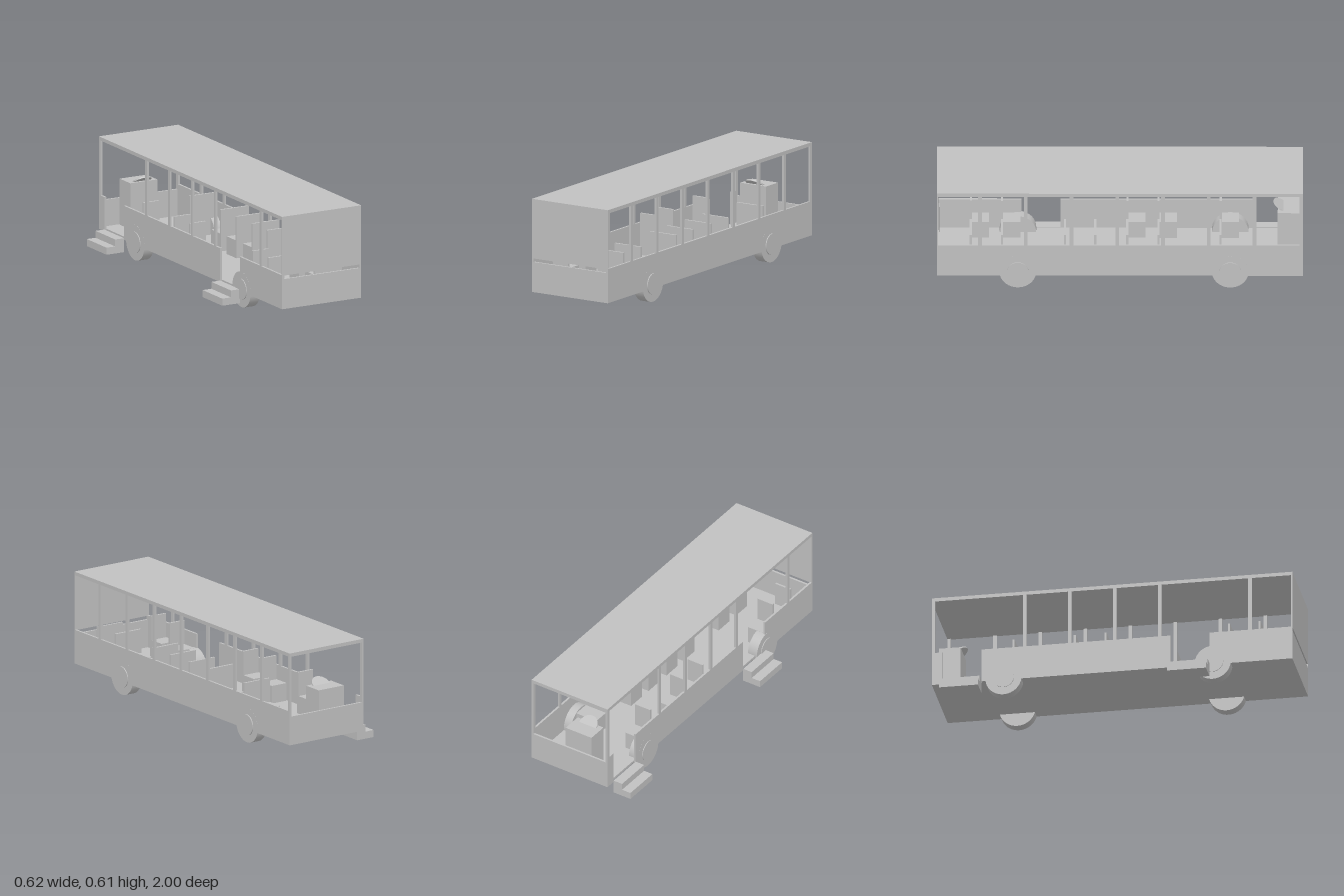
import * as THREE from 'three';

export function createModel() {
  const bus = new THREE.Group();
  bus.name = 'bus';
  const grey = new THREE.MeshStandardMaterial({ color: 0xc0c0c0 });
  grey.name = 'light grey';

  // Box given by its lower and upper limits on each axis
  function box(name, [x0, x1], [y0, y1], [z0, z1], parent = bus) {
    const mesh = new THREE.Mesh(new THREE.BoxGeometry(x1 - x0, y1 - y0, z1 - z0), grey);
    mesh.position.set((x0 + x1) / 2, (y0 + y1) / 2, (z0 + z1) / 2);
    mesh.name = name;
    parent.add(mesh);
    return mesh;
  }

  function disc(name, radius, width, x, y, z, parent = bus) {
    const geo = new THREE.CylinderGeometry(radius, radius, width, 48).rotateZ(Math.PI / 2);
    const mesh = new THREE.Mesh(geo, grey);
    mesh.position.set(x, y, z);
    mesh.name = name;
    parent.add(mesh);
  }

  const L = -0.198, R = 0.302, T = 0.012; // body sides and wall thickness
  const wallY = [0.088, 0.28], postY = [0.28, 0.59];
  const leftWall = [R - T, R], rightWall = [L, L + T], inner = [L + T, R - T];

  // Floor, roof and end walls
  box('floor', inner, [0.088, 0.1], [-0.988, 0.988]);
  box('roof', [L, R], [0.59, 0.61], [-1, 1]);
  box('windscreenWall', inner, [0.088, 0.25], [-1, -0.988]);
  box('closedEndLowerWall', inner, [0.088, 0.257], [0.988, 1]);
  box('closedEndUpperPanel', inner, [0.277, 0.59], [0.993, 1]);
  for (const side of [leftWall, rightWall]) {
    box('closedEndEdge', side, [0.28, 0.59], [0.993, 1]);
  }

  // Side walls; the door side is broken by two doorways
  const doors = [[-0.94, -0.725], [0.325, 0.54]];
  box('leftSideWall', leftWall, wallY, [-1, 1]);
  for (const span of [[-1, -0.94], [-0.725, 0.325], [0.54, 1]]) {
    box('rightSideWall', rightWall, wallY, span);
  }

  // Window posts
  for (let i = 0; i < 7; i++) {
    const z = 0.765 - i * 0.25;
    box('leftWindowPost', leftWall, postY, [z - 0.01, z + 0.01]);
    if (!doors.some(([a, b]) => z > a && z < b)) {
      box('rightWindowPost', rightWall, postY, [z - 0.01, z + 0.01]);
    }
  }
  for (const side of [leftWall, rightWall]) box('windscreenPost', side, postY, [-1, -0.982]);

  // Entrance steps
  for (const door of doors) {
    const steps = new THREE.Group();
    steps.name = 'entranceSteps';
    box('lowerStep', [-0.309, L], [0.018, 0.058], door, steps);
    box('upperStep', [-0.254, L], [0.058, 0.097], door, steps);
    bus.add(steps);
  }

  // Wheels with raised hub caps
  for (const z of [0.558, -0.603]) {
    disc('rightWheel', 0.1, 0.059, -0.1688, 0.1, z);
    disc('rightHubCap', 0.059, 0.006, -0.1995, 0.102, z);
    disc('leftWheel', 0.1, 0.058, 0.2732, 0.113, z);
    disc('leftHubCap', 0.059, 0.008, 0.304, 0.114, z);
  }

  // Seats facing the windscreen: wide on the left, narrow on the right
  function seat(x, z) {
    const group = new THREE.Group();
    group.name = 'seat';
    box('seatBase', x, [0.1, 0.2], [z - 0.1, z - 0.006], group);
    box('seatBack', x, [0.1, 0.335], [z - 0.006, z + 0.006], group);
    bus.add(group);
  }
  for (const z of [0.815, 0.645, 0.3, 0.135, -0.04, -0.21, -0.55]) seat([0.112, 0.283], z);
  for (const z of [0.815, 0.645, -0.04, -0.21, -0.55]) seat([-0.18, -0.08], z);

  // Driver's console and tilted steering wheel
  box('driverConsole', [-0.079, 0.091], [0.1, 0.36], [-0.98, -0.862]);
  const steering = new THREE.Mesh(new THREE.CylinderGeometry(0.055, 0.055, 0.008, 40), grey);
  steering.name = 'steeringWheel';
  steering.position.set(0.006, 0.36, -0.885);
  steering.rotation.x = -0.59;
  bus.add(steering);

  return bus;
}
